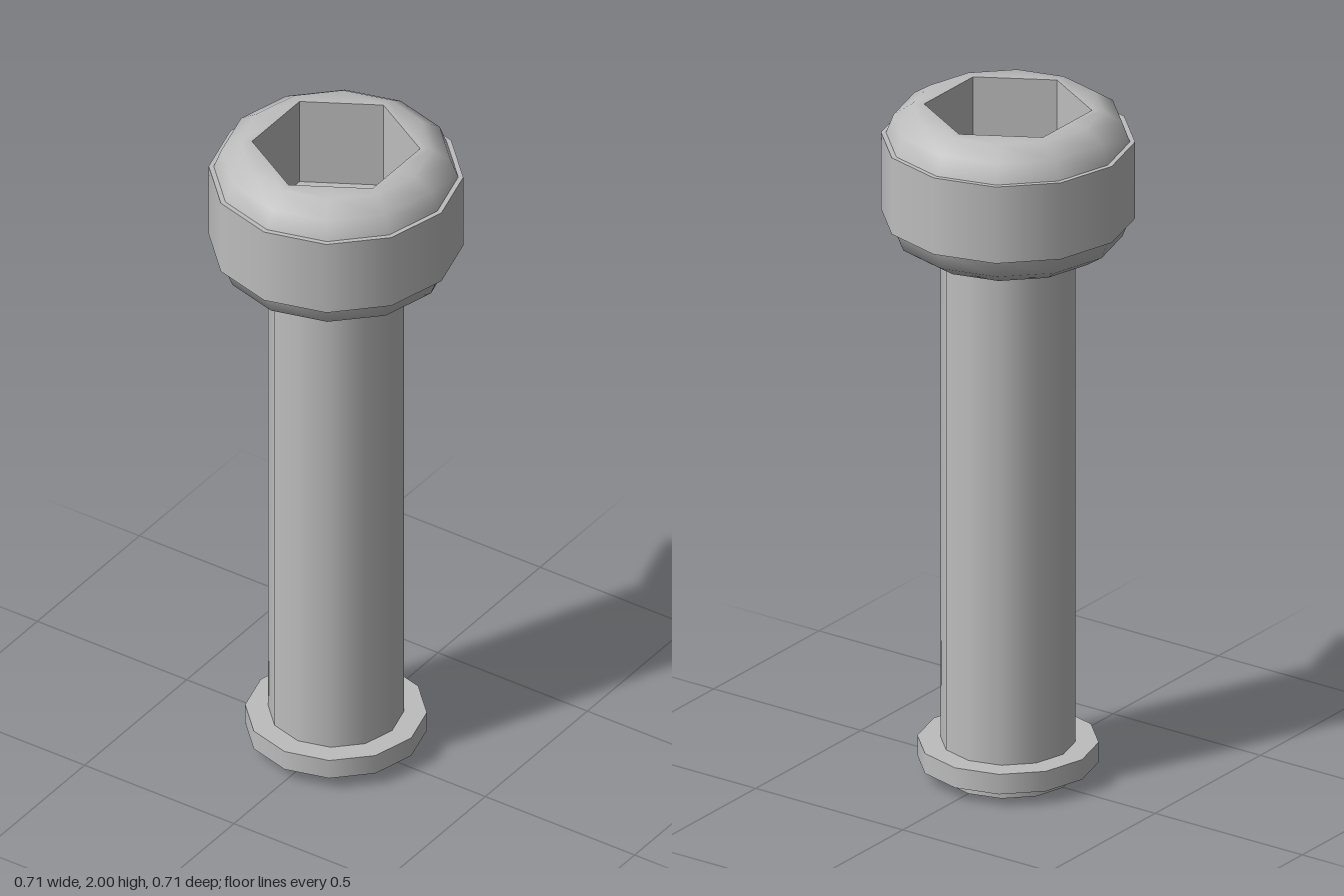
import * as THREE from 'three';

const SIDES = 12;

export function createModel() {
  const group = new THREE.Group();
  group.name = 'socketHeadBolt';
  const steel = new THREE.MeshStandardMaterial({ color: 0xbdbdbd });
  steel.name = 'steel grey';

  const add = (name, geometry, y = 0) => {
    const mesh = new THREE.Mesh(geometry, steel);
    mesh.name = name;
    mesh.position.y = y;
    group.add(mesh);
    return mesh;
  };
  const lathe = (points, sides = SIDES) =>
    new THREE.LatheGeometry(points.map(([r, y]) => new THREE.Vector2(r, y)), sides);
  const disc = (name, radius, y0, y1) =>
    add(name, new THREE.CylinderGeometry(radius, radius, y1 - y0, SIDES), (y0 + y1) / 2);

  // Shank and the collar near its foot
  disc('shank', 0.188, 0, 1.6);
  disc('collar', 0.252, 0.04, 0.1);

  // Head band: each step of the profile is separate to keep the rims sharp
  const band = [[0.337, 1.68], [0.353, 1.68], [0.353, 1.91], [0.337, 1.91]];
  for (let i = 0; i < 3; i++) {
    add(['bandLowerRim', 'headBand', 'bandUpperRim'][i], lathe([band[i], band[i + 1]]));
  }

  // Rounded underside of the head
  add('headUnderside', lathe([[0.17, 1.59], [0.265, 1.59], [0.318, 1.625], [0.339, 1.68]]));

  // Rounded crown, whose innermost ring is drawn in to the hexagonal opening
  const hex = 0.233;
  const crown = lathe([[0.339, 1.91], [0.318, 1.965], [0.265, 2], [hex, 2]]);
  const p = crown.attributes.position;
  for (let i = 0; i <= SIDES; i++) {
    if (i % 2 === 0) continue;
    const v = i * 4 + 3;
    const k = Math.cos(Math.PI / 6);
    p.setXYZ(v, p.getX(v) * k, p.getY(v), p.getZ(v) * k);
  }
  add('headCrown', crown);

  // Hexagonal socket with flat walls and floor
  const socket = lathe([[hex, 2], [hex, 1.73], [0, 1.73]], 6).toNonIndexed();
  socket.computeVertexNormals();
  add('hexSocket', socket);

  return group;
}
